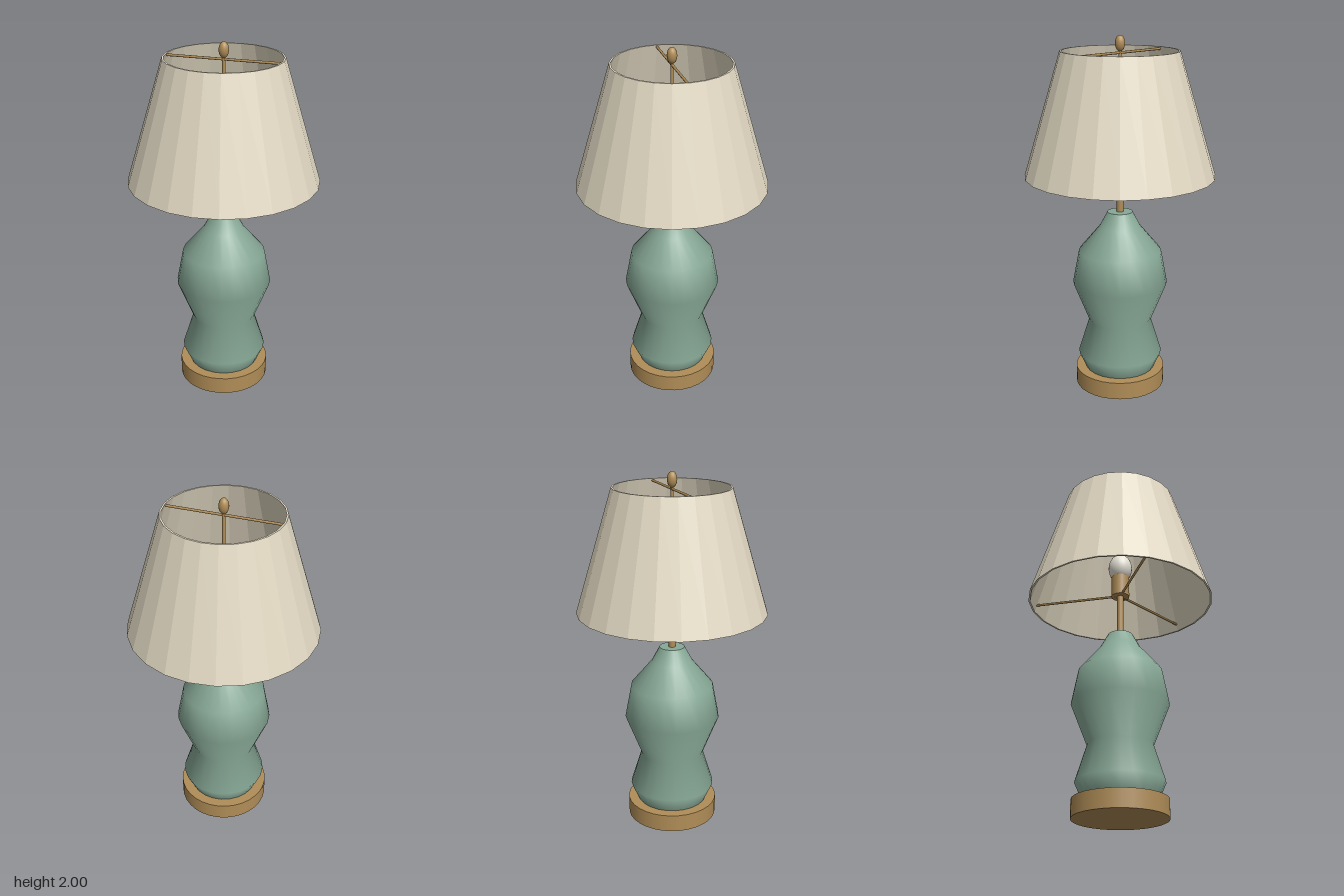
import * as THREE from 'three';

const mat = (name, color, extra = {}) => {
  const m = new THREE.MeshStandardMaterial({ color, ...extra });
  m.name = name;
  return m;
};

export function createModel() {
  const lamp = new THREE.Group();
  lamp.name = 'tableLamp';

  const brass = mat('brass', 0xb08d57);
  const glaze = mat('green glaze', 0x87a896);
  const linen = mat('linen', 0xe2d9c3, { flatShading: true });
  const glass = mat('bulb glass', 0xe8e4d8);

  const add = (name, geometry, material, y = 0) => {
    const mesh = new THREE.Mesh(geometry, material);
    mesh.name = name;
    mesh.position.y = y;
    lamp.add(mesh);
    return mesh;
  };
  const post = (name, r, y0, y1, sides = 16) =>
    add(name, new THREE.CylinderGeometry(r, r, y1 - y0, sides), brass, (y0 + y1) / 2);
  const lathe = (points, sides) =>
    new THREE.LatheGeometry(points.map(([r, y]) => new THREE.Vector2(r, y)), sides);
  // Thin horizontal rod from radius r0 to r1 along a heading
  const wire = (name, r0, r1, y, angle) => {
    const g = new THREE.CylinderGeometry(0.007, 0.007, r1 - r0, 8);
    g.rotateZ(-Math.PI / 2).translate((r0 + r1) / 2, 0, 0).rotateY(angle);
    return add(name, g, brass, y);
  };

  // Foot and ceramic body
  post('base', 0.256, 0, 0.1, 32);
  add('body', lathe([
    [0.2, 0.1], [0.24, 0.19], [0.178, 0.39], [0.268, 0.62],
    [0.232, 0.81], [0.115, 0.95], [0.07, 1.035],
  ], 24), glaze);
  add('bodyTop', new THREE.CircleGeometry(0.07, 24).rotateX(-Math.PI / 2), glaze, 1.035);

  // Stem, socket and bulb
  post('stem', 0.019, 1.02, 1.29);
  post('socket', 0.052, 1.28, 1.405, 20);
  add('bulb', new THREE.SphereGeometry(0.068, 24, 16), glass, 1.465).scale.y = 1.3;

  // Shade: a thin closed wall with faceted panels
  add('shade', lathe([
    [0.515, 1.245], [0.525, 1.245], [0.32, 1.92], [0.31, 1.92], [0.515, 1.245],
  ], 24), linen);

  // Shade frame: three lower spokes, one upper crossbar and its riser
  for (let i = 0; i < 3; i++) wire('lowerSpoke', 0, 0.505, 1.285, (i * Math.PI * 2) / 3);
  wire('upperCrossbar', -0.311, 0.311, 1.908, 0);
  post('riser', 0.009, 1.5, 1.925, 10);

  // Finial
  add('finial', new THREE.SphereGeometry(0.027, 16, 12), brass, 1.957).scale.y = 1.6;

  return lamp;
}
